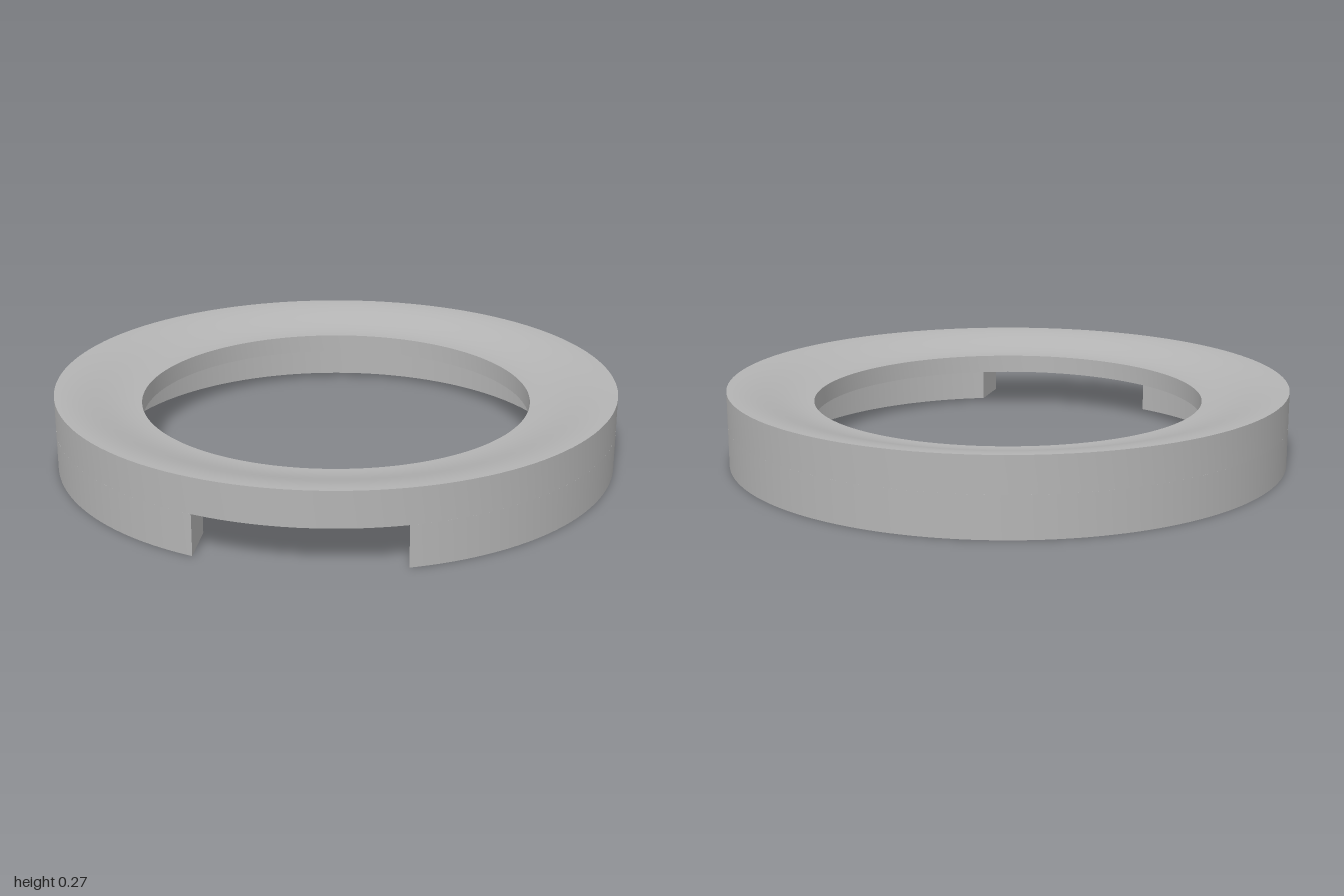
import * as THREE from 'three';
import { toCreasedNormals } from 'three/addons/utils/BufferGeometryUtils.js';

const OUTER = 1, BORE = 0.695, RECESS = 0.84;
const HEIGHT = 0.267, LIP = 0.21, STEP = 0.143;
const SLOT = 0.338, HOLE_RADIUS = 0.033, HOLE_RING = 0.917;

export function createModel() {
  const group = new THREE.Group();
  group.name = 'ring';
  const grey = new THREE.MeshStandardMaterial({ color: 0xb4b4b4 });
  grey.name = 'grey';

  function add(name, geometry) {
    const mesh = new THREE.Mesh(toCreasedNormals(geometry, 0.6), grey);
    mesh.name = name;
    group.add(mesh);
  }

  // Upper ring: the top sweeps down to the bore in a soft S-curve
  const profile = [new THREE.Vector2(BORE, STEP), new THREE.Vector2(OUTER, STEP)];
  const steps = 14;
  for (let i = 0; i <= steps; i++) {
    const t = i / steps;
    profile.push(new THREE.Vector2(
      OUTER + (BORE - OUTER) * t,
      HEIGHT - (HEIGHT - LIP) * (1 - Math.cos(Math.PI * t)) / 2
    ));
  }
  profile.push(new THREE.Vector2(BORE, STEP));
  add('dishedTopRing', new THREE.LatheGeometry(profile, 128));

  // Lower skirt: open ring with a parallel-sided slot at the front
  const a = Math.asin(SLOT / OUTER), b = Math.asin(SLOT / RECESS);
  const skirt = new THREE.Shape();
  skirt.absarc(0, 0, OUTER, -Math.PI / 2 + a, Math.PI * 1.5 - a, false);
  skirt.absarc(0, 0, RECESS, Math.PI * 1.5 - b, -Math.PI / 2 + b, true);
  skirt.closePath();

  // Four blind holes in the underside, closed by the upper ring
  for (let i = 0; i < 4; i++) {
    const angle = Math.PI / 4 + i * Math.PI / 2;
    const hole = new THREE.Path();
    hole.absarc(HOLE_RING * Math.cos(angle), HOLE_RING * Math.sin(angle), HOLE_RADIUS, 0, Math.PI * 2, true);
    skirt.holes.push(hole);
  }
  const skirtGeometry = new THREE.ExtrudeGeometry(skirt, { depth: STEP, bevelEnabled: false, curveSegments: 114 });
  skirtGeometry.rotateX(-Math.PI / 2);
  add('slottedSkirt', skirtGeometry);

  return group;
}
